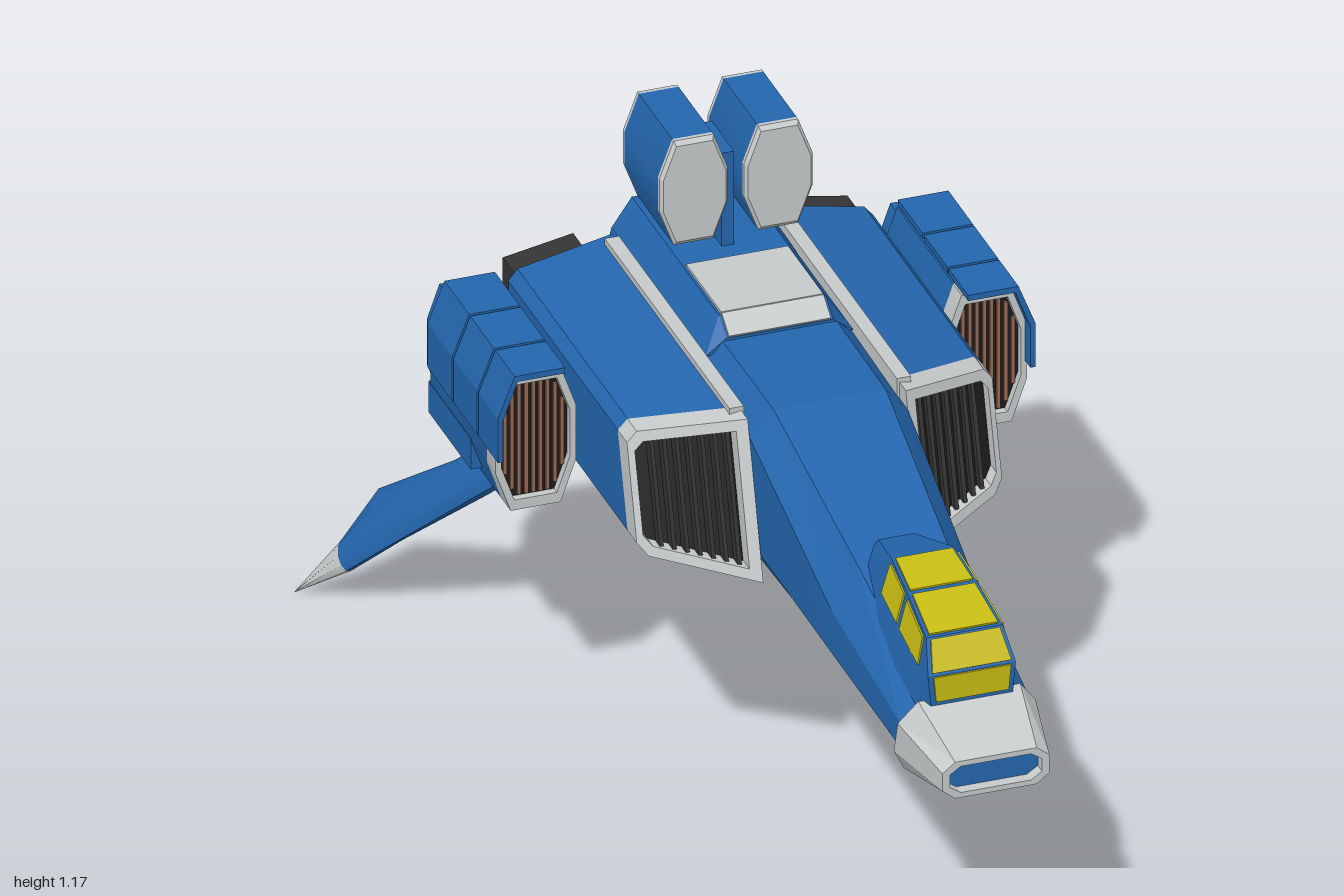
import * as THREE from 'three';
import { toCreasedNormals } from 'three/addons/utils/BufferGeometryUtils.js';

const mat = (name, color) => { const m = new THREE.MeshStandardMaterial({ color }); m.name = name; return m; };

// closed solid through rings of [x,y,z] points, wound outward by its signed volume
function loft(rings, capped = true) {
  const tris = [];
  const n = rings[0].length;
  for (let r = 0; r < rings.length - 1; r++)
    for (let i = 0; i < n; i++) {
      const j = (i + 1) % n, a = rings[r], b = rings[r + 1];
      tris.push([a[i], a[j], b[j]], [a[i], b[j], b[i]]);
    }
  if (capped) {
    const cap = (ring, flip) => {
      const c = centre(ring);
      ring.forEach((p, i) => {
        const q = ring[(i + 1) % n];
        tris.push(flip ? [c, q, p] : [c, p, q]);
      });
    };
    cap(rings[0], true);
    cap(rings[rings.length - 1], false);
  }
  const V = p => new THREE.Vector3(...p);
  const volume = tris.reduce((s, [a, b, c]) => s + V(a).dot(V(b).cross(V(c))), 0);
  if (volume < 0) tris.forEach(t => t.reverse());
  return toGeometry(tris.flat(2));
}
function toGeometry(array) {
  const g = new THREE.BufferGeometry();
  g.setAttribute('position', new THREE.Float32BufferAttribute(array, 3));
  g.computeVertexNormals();
  return g;
}
const centre = ring => [0, 1, 2].map(k => ring.reduce((s, p) => s + p[k], 0) / ring.length);
const mix = (a, b, t) => a.map((v, k) => v + (b[k] - v) * t);
const shrink = (ring, f) => { const c = centre(ring); return ring.map(p => mix(c, p, f)); };
const shift = (ring, dz) => ring.map(([x, y, z]) => [x, y, z + dz]);
const frame = (ring, f, depth) => {
  const inner = shrink(ring, f);
  return loft([shift(ring, depth), ring, inner, shift(inner, depth), shift(ring, depth)], false);
};
// thin plate standing astride a flat polygon
function plate(ring, t = 0.004) {
  const [a, b, c] = ring.map(p => new THREE.Vector3(...p));
  const n = b.sub(a).cross(c.sub(a)).normalize();
  const off = s => ring.map(([x, y, z]) => [x + n.x * s, y + n.y * s, z + n.z * s]);
  return loft([off(-t), off(t)]);
}
// upright octagon section
const oct = (cx, cy, hw, hh, dx, dy, z) =>
  [[hw - dx, hh], [hw, hh - dy], [hw, dy - hh], [hw - dx, -hh], [dx - hw, -hh], [-hw, dy - hh], [-hw, hh - dy], [dx - hw, hh]]
    .map(([x, y]) => [cx + x, cy + y, z]);
// body section, symmetrical about x = 0
const section = (z, ht, top, hw, shoulder, low, hb, bottom) =>
  [[ht, top], [hw, shoulder], [hw, low], [hb, bottom], [-hb, bottom], [-hw, low], [-hw, shoulder], [-ht, top]]
    .map(([x, y]) => [x, y, z]);
const box = (x0, x1, y0, y1, z0, z1) =>
  new THREE.BoxGeometry(x1 - x0, y1 - y0, z1 - z0).translate((x0 + x1) / 2, (y0 + y1) / 2, (z0 + z1) / 2);

export function createModel() {
  const blue = mat('blue', 0x2466ae), grey = mat('light grey', 0xc6caca), yellow = mat('yellow glass', 0xc6bb12);
  const dark = mat('dark grey', 0x343434), black = mat('black', 0x1c1c1e);
  const cyan = mat('cyan glow', 0x1095c4), copper = mat('copper', 0x9a6a52);
  const model = new THREE.Group();
  model.name = 'fighterCraft';

  const add = (name, geo, material, crease = 0.5) => {
    const m = new THREE.Mesh(toCreasedNormals(geo, crease), material);
    m.name = name;
    model.add(m);
  };
  // left part plus its mirror image with reversed winding
  const pair = (name, geo, material, crease) => {
    const g = geo.index ? geo.toNonIndexed() : geo, p = g.attributes.position, out = [];
    for (let i = 0; i < p.count; i += 3)
      for (const k of [i, i + 2, i + 1]) out.push(-p.getX(k), p.getY(k), p.getZ(k));
    add(name + 'Left', g, material, crease);
    add(name + 'Right', toGeometry(out), material, crease);
  };

  // fuselage and nose
  add('fuselage', loft([
    section(0.84, 0.08, 0.65, 0.128, 0.6, 0.55, 0.09, 0.51),
    section(0.5, 0.09, 0.75, 0.142, 0.665, 0.575, 0.105, 0.528),
    section(0.1, 0.11, 0.87, 0.155, 0.815, 0.6, 0.13, 0.55),
    section(-0.64, 0.115, 0.87, 0.155, 0.835, 0.6, 0.13, 0.55)]), blue, 0.2);
  const tip = section(1, 0.08, 0.597, 0.105, 0.577, 0.54, 0.08, 0.52);
  const slot = tip.map(([x, y, z]) => [x * 0.86, 0.558 + (y - 0.558) * 0.72, z]);
  const noseBase = section(0.855, 0.1, 0.652, 0.135, 0.605, 0.535, 0.11, 0.487).map(([x, y, z]) => [x, y, z + (y - 0.652) * 0.3]);
  add('noseCone', loft([noseBase, tip, slot, shift(slot, -0.03)]), grey, 0.2);
  add('noseSlot', plate(shift(slot, -0.027)), blue);

  // canopy: blue shell with glass plates set on its faces
  const hoops = [[0.87, 0.078, 0.62, 0.086, 0.71], [0.83, 0.1, 0.62, 0.075, 0.768], [0.71, 0.108, 0.64, 0.068, 0.797],
    [0.605, 0.108, 0.66, 0.062, 0.815], [0.46, 0.075, 0.72, 0.035, 0.772]]
    .map(([z, hb, yb, ht, yt]) => [[hb, yb, z], [ht, yt, z], [-ht, yt, z], [-hb, yb, z]]);
  add('canopyShell', loft(hoops), blue, 0.15);
  const f = hoops[0];
  add('windscreen', plate(shrink([mix(f[1], f[0], 0.65), f[1], f[2], mix(f[2], f[3], 0.65)], 0.88)), yellow);
  for (let i = 0; i < 3; i++) {
    const a = hoops[i], b = hoops[i + 1];
    add('roofPane', plate(shrink([a[1], a[2], b[2], b[1]], 0.9)), yellow);
    if (i) pair('sidePane', plate(shrink([a[1], b[1], mix(b[1], b[0], 0.45), mix(a[1], a[0], 0.45)], 0.84)), yellow);
  }

  // dorsal hump, its pale panel and the launcher pylon
  add('dorsalHump', loft([[-0.17, 0.875], [-0.21, 0.903], [-0.68, 0.903]].map(([z, y]) =>
    [[0.105, y, z], [0.145, 0.845, z], [-0.145, 0.845, z], [-0.105, y, z]])), blue, 0.2);
  add('dorsalPanel', plate([[0.1, 0.905, -0.21], [-0.1, 0.905, -0.21], [-0.1, 0.905, -0.4], [0.1, 0.905, -0.4]]), grey);
  add('dorsalPanelSlope', plate([[0.1, 0.877, -0.17], [-0.1, 0.877, -0.17], [-0.1, 0.905, -0.21], [0.1, 0.905, -0.21]]), grey);
  add('launcherPylon', box(-0.012, 0.012, 0.88, 1.1, -0.57, -0.45), blue);
  add('launcherPin', box(-0.03, 0.03, 1.03, 1.07, -0.54, -0.48), blue);

  // launcher boxes with bevelled lids at both ends
  const launcher = z => oct(0.083, 1.06, 0.067, 0.11, 0.028, 0.075, z);
  pair('launcherBox', loft([launcher(-0.415), launcher(-0.595)]), blue);
  pair('launcherFrontLid', loft([launcher(-0.415), launcher(-0.407), shrink(launcher(-0.4), 0.92)]), grey, 0.2);
  pair('launcherRearLid', loft([launcher(-0.595), launcher(-0.603), shrink(launcher(-0.61), 0.92)]), grey, 0.2);

  // intake nacelles with raked rims and upright slats
  const mouth = [[0.155, 0.85, 0.085], [0.34, 0.812, -0.005], [0.358, 0.79, -0.008], [0.358, 0.605, 0.045],
    [0.34, 0.582, 0.06], [0.155, 0.548, 0.17]];
  const back = mouth.map(([x, y]) => [x, y, -0.65]);
  pair('nacelle', loft([back, shift(mouth, -0.05)]), blue, 0.2);
  pair('intakeRim', frame(mouth, 0.84, -0.05), grey, 0.2);
  const throat = shift(shrink(mouth, 0.84), -0.035);
  pair('intakeThroat', plate(throat), black);
  for (let i = 0; i < 7; i++) {
    const t = (i + 0.6) / 7.4;
    const a = mix(throat[0], throat[1], t), b = mix(throat[5], throat[4], t);
    const slat = dx => [[a[0] + dx, a[1], a[2]], [a[0] + dx, a[1], a[2] + 0.025], [b[0] + dx, b[1], b[2] + 0.025], [b[0] + dx, b[1], b[2]]];
    pair('intakeSlat', loft([slat(-0.004), slat(0.004)]), dark);
  }
  pair('jointStrip', box(0.15, 0.178, 0.543, 0.858, -0.625, 0.05), grey);

  // main engine nozzles
  const nozzle = [[0.2, 0.815, -0.735], [0.338, 0.79, -0.735], [0.338, 0.61, -0.735], [0.2, 0.585, -0.735]];
  pair('engineNozzle', frame(nozzle, 0.76, 0.09), dark);
  pair('engineGlow', plate(shift(shrink(nozzle, 0.77), 0.035)), cyan);

  // outer pods: striped grille ahead, glow behind, armour over the outside
  const pod = (z, s = 1) => oct(0.442, 0.674, 0.079 * s, 0.143 * s, 0.03 * s, 0.085 * s, z);
  pair('podBody', loft([pod(-0.315), pod(-0.62)]), blue);
  pair('podRim', frame(pod(-0.27), 0.85, -0.05), grey);
  pair('podGrille', plate(shift(shrink(pod(-0.27), 0.86), -0.02)), black);
  for (let i = -4; i <= 4; i++) {
    const x = 0.442 + i * 0.014, h = 0.118 - Math.max(0, Math.abs(i) - 2.6) * 0.034;
    pair('grilleStripe', box(x - 0.0035, x + 0.0035, 0.674 - h, 0.674 + h, -0.29, -0.281), copper);
  }
  pair('podTail', frame(pod(-0.68, 0.82), 0.74, 0.065), blue);
  pair('podTailRim', frame(pod(-0.684, 0.72), 0.84, 0.04), dark);
  pair('podGlow', plate(pod(-0.662, 0.64)), cyan);
  pair('podTailBar', box(0.39, 0.494, 0.668, 0.682, -0.683, -0.66), dark);
  pair('podMount', box(0.34, 0.38, 0.62, 0.75, -0.6, -0.36), blue);
  const shell = z => [[0.395, 0.832], [0.494, 0.832], [0.527, 0.748], [0.527, 0.655], [0.517, 0.655], [0.517, 0.742], [0.488, 0.82], [0.395, 0.82]]
    .map(([x, y]) => [x, y, z]);
  const strip = (a, b) => {
    // outer and inner skins meet as quads so the bent plate stays hollow
    const s = shell(a), e = shell(b);
    return [0, 1, 2].map(i => loft([[s[i], s[i + 1], s[6 - i], s[7 - i]], [e[i], e[i + 1], e[6 - i], e[7 - i]]]));
  };
  for (const [a, b] of [[-0.24, -0.345], [-0.352, -0.48], [-0.487, -0.62]])
    for (const g of strip(a, b)) pair('podArmour', g, blue);
  pair('podKeel', box(0.475, 0.522, 0.555, 0.62, -0.63, -0.4), blue);

  // swept landing fins: [front edge, rear edge, half thickness]
  const fin = [[[0.235, 0.575, -0.46], [0.26, 0.565, -0.59], 0.02], [[0.27, 0.53, -0.49], [0.285, 0.515, -0.62], 0.027],
    [[0.41, 0.35, -0.65], [0.4, 0.34, -0.79], 0.033], [[0.52, 0.19, -0.8], [0.49, 0.215, -0.955], 0.028],
    [[0.585, 0.085, -0.9], [0.562, 0.11, -0.966], 0.02], [[0.648, 0.001, -0.998], [0.65, 0, -1], 0.001]]
    .map(([a, b, t]) => Array.from({ length: 10 }, (_, i) => {
      const u = i / 10 * Math.PI * 2, p = mix(a, b, 0.5 - Math.cos(u) / 2), s = Math.sin(u) * t;
      return [p[0] + s * 0.8, p[1] + s * 0.58, p[2] - s * 0.12];
    }));
  pair('fin', loft(fin.slice(0, 5)), blue, 0.75);
  pair('finTip', loft(fin.slice(4)), grey, 0.75);

  // rear thruster cluster
  const thruster = (x, y, r, z0, z1) => new THREE.CylinderGeometry(r, r * 0.85, z0 - z1, 12).rotateX(Math.PI / 2).translate(x, y, (z0 + z1) / 2);
  add('rearBlock', box(-0.075, 0.075, 0.6, 0.83, -0.68, -0.62), blue);
  for (const [x, y, r, end] of [[0.1, 0.8, 0.036, -0.73], [0.1, 0.63, 0.036, -0.7], [0.035, 0.75, 0.02, -0.72], [0.035, 0.66, 0.02, -0.72]]) {
    pair('thruster', thruster(x, y, r, -0.6, end), blue, 0.7);
    pair('thrusterCollar', thruster(x, y, r * 1.25, -0.62, -0.66), blue, 0.7);
    pair('thrusterDome', new THREE.SphereGeometry(r * 0.7, 12, 8).translate(x, y, end + r * 0.45), blue, 0.9);
  }
  return model;
}
